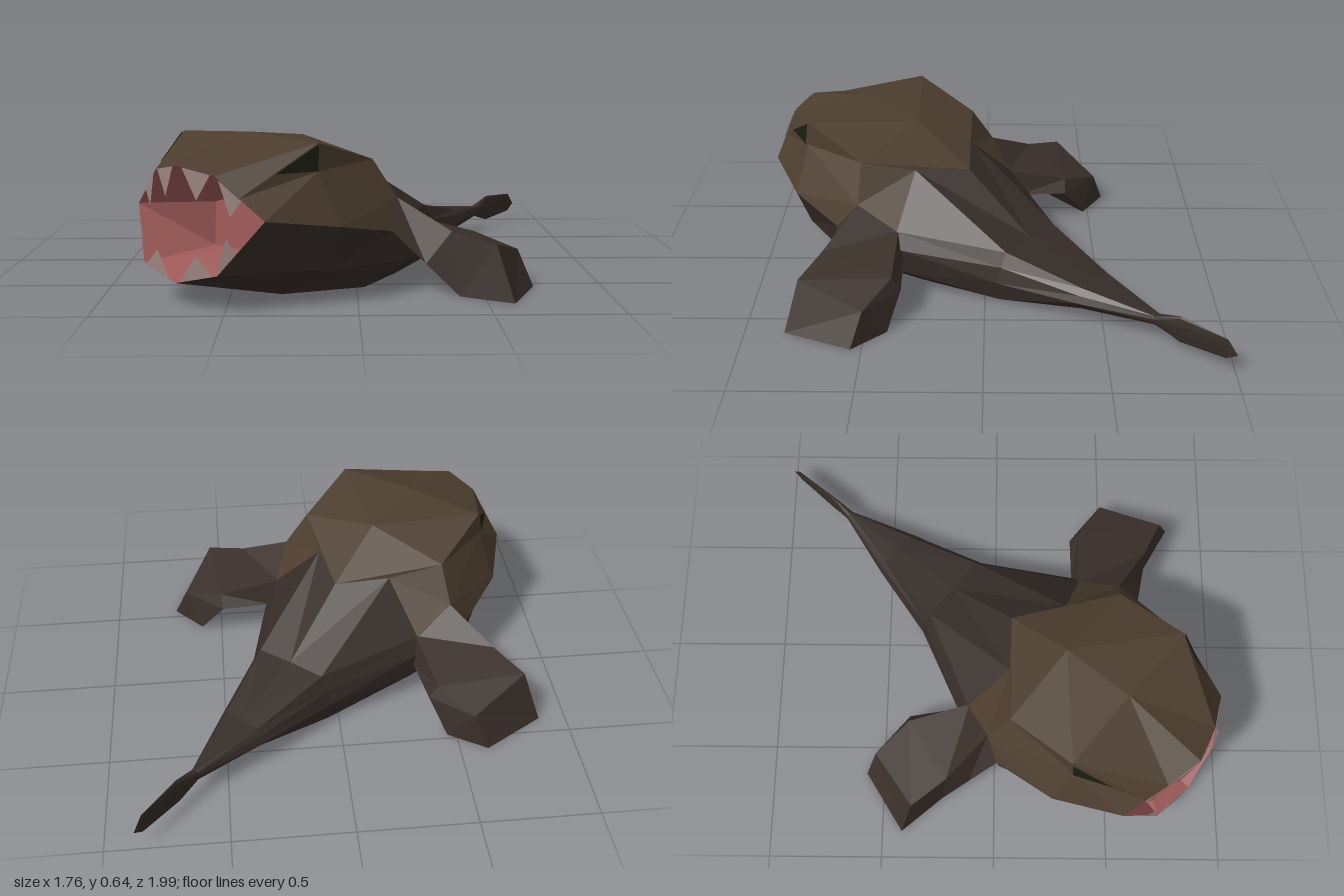
import * as THREE from 'three';

const paint = (color) =>
  new THREE.MeshStandardMaterial({ color, flatShading: true, side: THREE.DoubleSide });

// Skin a grid of cross-sections, on one side or mirrored across x = 0.
function skin(rows, { side = 1, close = false } = {}) {
  const out = [];
  const tri = (a, b, c) => {
    for (const p of side > 0 ? [a, b, c] : [a, c, b]) out.push(p[0] * side, p[1], p[2]);
  };
  for (let i = 0; i < rows.length - 1; i++) {
    const n = rows[i].length;
    for (let j = 0; j < (close ? n : n - 1); j++) {
      const k = (j + 1) % n;
      const a = rows[i][j], b = rows[i + 1][j], c = rows[i + 1][k], d = rows[i][k];
      tri(a, b, c);
      tri(a, c, d);
    }
  }
  return out;
}

function makeMesh(name, positions, material) {
  const g = new THREE.BufferGeometry();
  g.setAttribute('position', new THREE.Float32BufferAttribute(positions, 3));
  g.computeVertexNormals();
  const m = new THREE.Mesh(g, material);
  m.name = name;
  return m;
}

const bothSides = (rows) => [1, -1].flatMap((side) => skin(rows, { side }));

const lerp = (a, b, t) => a.map((v, i) => v + (b[i] - v) * t);

export function createModel() {
  const headMat = paint(0x4c3d2e);
  const darkMat = paint(0x352c27);
  const finMat = paint(0x3a2f29);
  const mouthMat = paint(0xa05c5a);
  const toothMat = paint(0x9a8480);
  const eyeMat = paint(0x1a1d10);

  const creature = new THREE.Group();
  creature.name = 'creature';

  // Half outline of the lips, top centre to bottom centre
  const lips = [
    [0, 0.54, 1.09], [0.16, 0.51, 1.05], [0.25, 0.43, 1.015],
    [0.345, 0.35, 0.98], [0.2, 0.145, 1.085], [0, 0.095, 1.11],
  ];

  // Tail: half sections at constant z, top centre to bottom centre
  const at = (z, ...pts) => pts.map(([x, y]) => [x, y, z]);
  const tail = [
    at(-1.327, [0, 0.09], [0, 0.09], [0, 0.09], [0, 0.09], [0, 0.09], [0, 0.09]),
    at(-1.277, [0, 0.145], [0, 0.14], [0.002, 0.12], [0.002, 0.09], [0, 0.06], [0, 0.055]),
    at(-1.063, [0, 0.16], [0.006, 0.15], [0.012, 0.12], [0.012, 0.08], [0.006, 0.045], [0, 0.037]),
    at(-0.95, [0, 0.12], [0.015, 0.117], [0.02, 0.105], [0.02, 0.09], [0.014, 0.078], [0, 0.07]),
    at(-0.635, [0, 0.158], [0.085, 0.155], [0.11, 0.13], [0.124, 0.1], [0.09, 0.06], [0, 0.045]),
    at(-0.28, [0, 0.235], [0.165, 0.23], [0.2, 0.17], [0.22, 0.1], [0.2, 0.01], [0, 0]),
  ];

  // Trunk and head: the sections end on an open rim on the ground
  const trunk = [
    [[0, 0.45, 0.07], [0.19, 0.47, 0.22], [0.39, 0.27, 0.15], [0.41, 0.2, 0.105], [0.4, 0.09, 0.1], [0.29, 0, 0.1]],
    [[0, 0.6, 0.375], [0.37, 0.525, 0.375], [0.455, 0.37, 0.32], [0.5, 0.25, 0.41], [0.48, 0.12, 0.41], [0.35, 0, 0.4]],
    [[0, 0.637, 0.7], [0.37, 0.618, 0.705], [0.375, 0.51, 0.716], [0.475, 0.306, 0.7], [0.4, 0.13, 0.7], [0.17, 0, 0.7]],
  ];
  const head = [...trunk, lips];
  const chin = [[trunk[2][5], [0, 0, 0.74]], [lips[5], lips[5]]];
  creature.add(makeMesh('tail', bothSides([...tail, trunk[0]]), darkMat));
  creature.add(makeMesh('headAndBack', bothSides(head.map((row) => row.slice(0, 4))), headMat));
  creature.add(makeMesh('underside', [
    ...bothSides(head.map((row) => row.slice(3))), ...bothSides(chin),
  ], darkMat));

  // Mouth cavity: roof, walls and floor, then the back wall
  const back = at(0.76, [0, 0.37], [0.07, 0.365], [0.1, 0.36], [0.13, 0.35], [0.14, 0.17], [0, 0.17]);
  const middle = back.map(([, y, z]) => [0, y, z]);
  creature.add(makeMesh('mouth', bothSides([lips, back, middle]), mouthMat));

  // Teeth: flat triangles along the lips
  const toothSpecs = [
    [lips[0], lips[1], 0.15, 0.9, -0.11],
    [lips[1], lips[3], 0.08, 0.55, -0.1],
    [lips[5], lips[4], 0.15, 0.9, 0.09],
    [lips[4], lips[3], 0.02, 0.4, 0.1],
  ];
  const teeth = [];
  for (const side of [1, -1]) {
    for (const [p, q, t0, t1, rise] of toothSpecs) {
      const a = lerp(p, q, t0), b = lerp(p, q, t1), tip = lerp(a, b, 0.5);
      tip[1] += rise;
      for (const v of [a, b, tip]) teeth.push(v[0] * side, v[1], v[2] + 0.004);
    }
  }
  creature.add(makeMesh('teeth', teeth, toothMat));

  // Eyes: dark triangles beneath the brow
  const eyes = [];
  for (const side of [1, -1]) {
    const corners = [[0.376, 0.614, 0.71], [0.382, 0.512, 0.722], [0.315, 0.512, 0.885]];
    if (side < 0) corners.reverse();
    for (const [x, y, z] of corners) eyes.push(x * side, y, z);
  }
  creature.add(makeMesh('eyes', eyes, eyeMat));

  // Flippers: root, middle, elbow and the open sole on the ground
  const sole = [[0.97, 0, 0.25], [0.876, 0, -0.045], [0.687, 0, -0.07], [0.743, 0, 0.29]];
  const flipper = [
    [[0.455, 0.37, 0.32], [0.38, 0.27, 0.15], [0.4, 0.15, 0.105], [0.5, 0.25, 0.41]],
    [[0.7, 0.256, 0.29], [0.6, 0.2, -0.02], [0.57, 0.14, -0.043], [0.62, 0.125, 0.35]],
    [[0.88, 0.218, 0.246], [0.8, 0.145, -0.045], sole[2], sole[3]],
    sole,
  ].map((loop) => [...loop].reverse());
  for (const [name, side] of [['leftFlipper', 1], ['rightFlipper', -1]]) {
    creature.add(makeMesh(name, skin(flipper, { side, close: true }), finMat));
  }

  // The creature lies turned towards its right
  creature.rotation.y = THREE.MathUtils.degToRad(-40);
  creature.position.set(0.021, 0, 0.018);

  const model = new THREE.Group();
  model.add(creature);
  return model;
}
